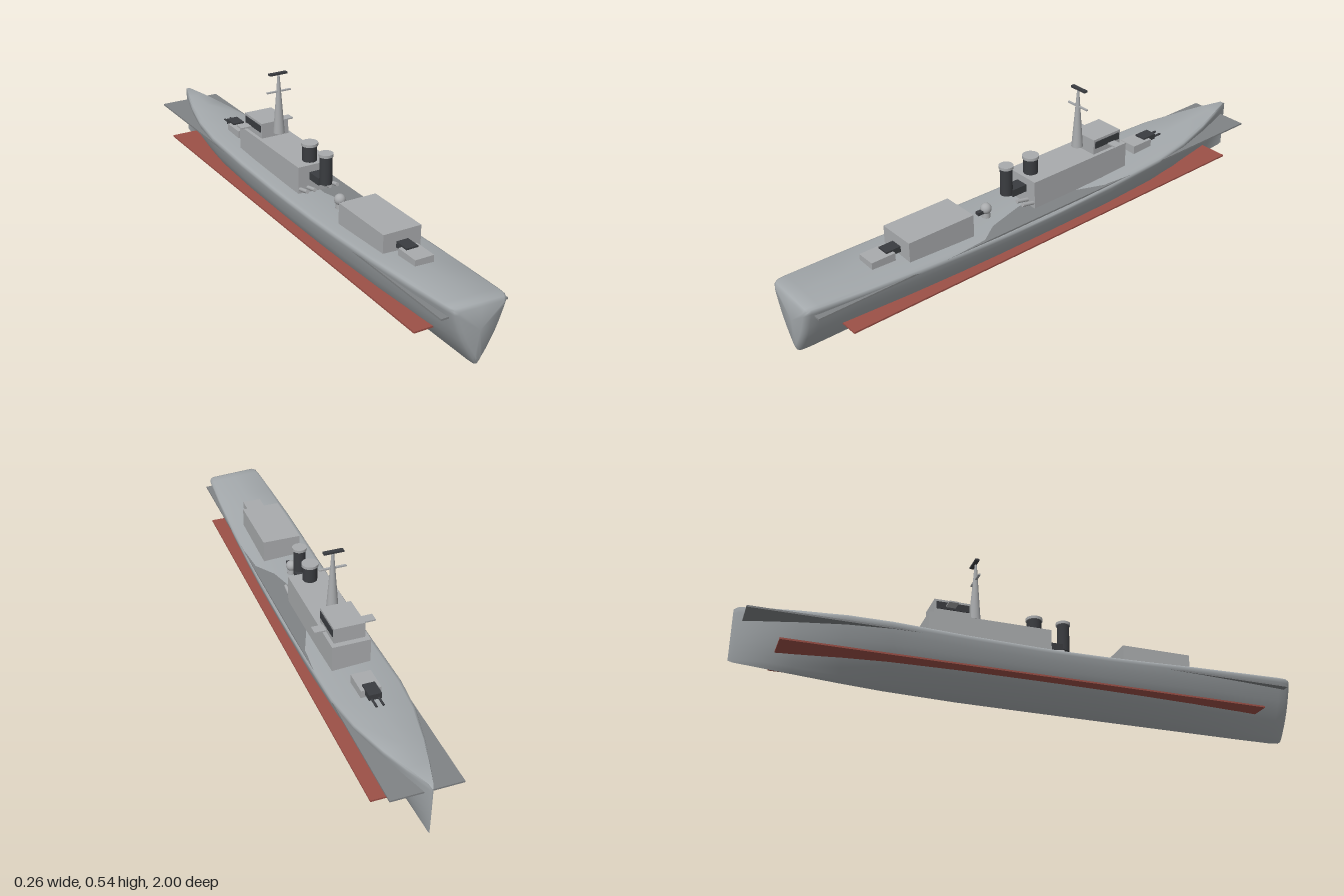
import * as THREE from 'three';
import { toCreasedNormals } from 'three/addons/utils/BufferGeometryUtils.js';

const paint = (name, color) => {
  const m = new THREE.MeshStandardMaterial({ color });
  m.name = name;
  return m;
};

export function createModel() {
  const ship = new THREE.Group();
  ship.name = 'warship';
  const hullGrey = paint('hull grey', 0xa3a8ab);
  const houseGrey = paint('superstructure grey', 0xa9abad);
  const deckGrey = paint('deck grey', 0x808385);
  const dark = paint('dark grey', 0x3a3c40);
  const red = paint('antifouling red', 0x9c5047);

  const add = (name, geo, mat, x = 0, y = 0, z = 0, parent = ship) => {
    const m = new THREE.Mesh(geo, mat);
    m.name = name;
    m.position.set(x, y, z);
    parent.add(m);
    return m;
  };
  // Box given by its limits, centred on x
  const block = (name, mat, halfX, y0, y1, z0, z1, x = 0) =>
    add(name, new THREE.BoxGeometry(halfX * 2, y1 - y0, z1 - z0), mat, x, (y0 + y1) / 2, (z0 + z1) / 2);

  // Hull stations: z, half beam, deck height, keel height, fullness (0 = V, 1 = full)
  const stations = [
    [-1, 0.002, 0.222, 0.042, 0], [-0.985, 0.008, 0.23, 0.038, 0], [-0.9, 0.038, 0.226, 0.032, 0.1],
    [-0.8, 0.069, 0.22, 0.025, 0.2], [-0.65, 0.105, 0.212, 0.015, 0.45], [-0.5, 0.122, 0.204, 0.007, 0.7],
    [-0.25, 0.125, 0.193, 0.001, 0.95], [0, 0.125, 0.188, 0, 1], [0.1, 0.125, 0.188, 0, 1],
    [0.25, 0.125, 0.19, 0, 1], [0.4, 0.124, 0.195, 0, 0.95], [0.6, 0.121, 0.204, 0, 0.8],
    [0.8, 0.113, 0.213, 0, 0.5], [0.95, 0.104, 0.221, 0.001, 0.25], [0.98, 0.1, 0.222, 0.004, 0.2],
    [0.993, 0.094, 0.218, 0.012, 0.15], [1, 0.082, 0.208, 0.03, 0.1],
  ];
  // Side profile: height fraction, beam fraction when full, beam fraction when V-shaped
  const side = [[0.04, 0.11, 0.07], [0.1, 0.23, 0.15], [0.2, 0.4, 0.29], [0.32, 0.57, 0.44],
    [0.46, 0.73, 0.6], [0.62, 0.85, 0.75], [0.78, 0.935, 0.88], [0.9, 0.99, 0.97], [0.95, 1, 1],
    [0.98, 0.965, 0.975], [1, 0.88, 0.9]];
  const pos = [], idx = [];
  const ring = side.length * 2 + 2;
  for (const [z, b, d, k, f] of stations) {
    const point = ([t, full, vee], s) => {
      const x = s * b * (vee + (full - vee) * f);
      // The deck leans slightly to one side
      pos.push(x, k + (d - k) * t - x * 0.05 * t, z);
    };
    pos.push(0, k, z);
    side.forEach((p) => point(p, 1));
    point([1, 0, 0], 1);
    [...side].reverse().forEach((p) => point(p, -1));
  }
  for (let i = 0; i < stations.length - 1; i++) {
    for (let j = 0; j < ring; j++) {
      const n = (j + 1) % ring, a = i * ring;
      idx.push(a + j, a + n, a + ring + j, a + n, a + ring + n, a + ring + j);
    }
  }
  // Bow and transom caps
  const last = (stations.length - 1) * ring;
  pos.push(0, 0.13, -1, 0, 0.13, 1);
  const bowMid = stations.length * ring;
  for (let j = 0; j < ring; j++) {
    const n = (j + 1) % ring;
    idx.push(bowMid, n, j, bowMid + 1, last + j, last + n);
  }
  const hull = new THREE.BufferGeometry();
  hull.setAttribute('position', new THREE.Float32BufferAttribute(pos, 3));
  hull.setIndex(idx);
  add('hull', toCreasedNormals(hull, 0.9), hullGrey);

  // Long flat plates running through the hull
  block('deckPlate', deckGrey, 0.12, 0.181, 0.187, -0.97, 0.97);
  block('waterlinePlate', red, 0.131, 0.082, 0.088, -0.86, 0.86);

  // Superstructure, bridge and aft deckhouse
  block('mainDeckhouse', houseGrey, 0.068, 0.17, 0.29, -0.37, 0.07);
  block('bridge', houseGrey, 0.055, 0.29, 0.347, -0.35, -0.22);
  block('aftDeckhouse', houseGrey, 0.071, 0.18, 0.272, 0.34, 0.6);
  for (const s of [-1, 1]) {
    block('bridgeWindow', dark, 0.003, 0.312, 0.338, -0.343, -0.227, s * 0.055);
    block('bridgeWing', houseGrey, 0.021, 0.316, 0.321, -0.312, -0.278, s * 0.087);
  }

  // Mast with yard and radar bar
  add('mast', new THREE.CylinderGeometry(0.004, 0.021, 0.22, 20), houseGrey, 0, 0.425, -0.19);
  block('yard', houseGrey, 0.048, 0.471, 0.476, -0.194, -0.186);
  block('radarBar', dark, 0.035, 0.535, 0.542, -0.202, -0.187);

  // Funnels with pale caps
  const funnel = (r, y0, z) => {
    add('funnel', new THREE.CylinderGeometry(r, r, 0.35 - y0, 24), dark, 0, (0.35 + y0) / 2, z);
    add('funnelCap', new THREE.CylinderGeometry(r + 0.004, r + 0.004, 0.01, 24), houseGrey, 0, 0.352, z);
  };
  funnel(0.026, 0.285, 0.03);
  funnel(0.022, 0.245, 0.14);

  // Launcher block behind the funnel, with four tilted tubes
  block('launcher', dark, 0.024, 0.237, 0.264, 0.062, 0.13);
  for (const x of [-0.06, -0.03, 0.03, 0.06]) {
    const tube = add('launchTube', new THREE.CylinderGeometry(0.007, 0.007, 0.055, 12), houseGrey, x, 0.212, 0.092);
    tube.rotation.x = Math.PI / 2 - 0.2;
  }

  // Radar dome on a pedestal
  add('domePedestal', new THREE.CylinderGeometry(0.014, 0.016, 0.03, 16), houseGrey, 0, 0.198, 0.232);
  add('radarDome', new THREE.SphereGeometry(0.02, 20, 14), houseGrey, 0, 0.222, 0.232);
  block('domeSensor', dark, 0.008, 0.209, 0.221, 0.235, 0.27);

  // Gun mounts: pale base, dark gunhouse, twin barrels pointing to the bow
  const gun = (z) => {
    block('gunBase', houseGrey, 0.035, 0.19, 0.232, z, z + 0.09);
    block('gunHouse', dark, 0.022, 0.217, 0.238, z - 0.035, z + 0.025);
    for (const x of [-0.012, 0.012]) {
      const barrel = add('gunBarrel', new THREE.CylinderGeometry(0.004, 0.004, 0.05, 10), dark, x, 0.221, z - 0.048);
      barrel.rotation.x = Math.PI / 2;
    }
  };
  gun(-0.54);
  gun(0.63);

  return ship;
}
